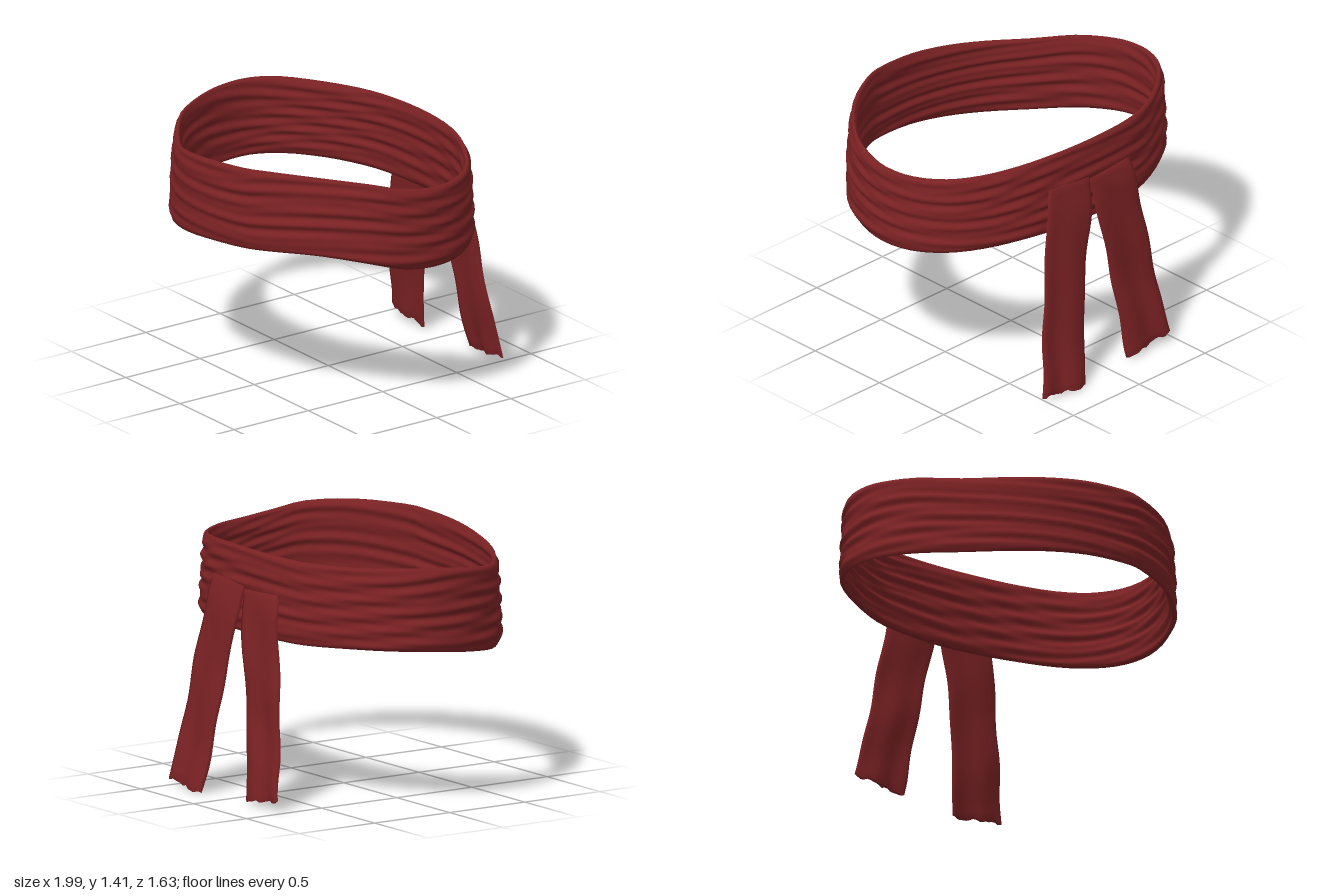
import * as THREE from 'three';

const cloth = new THREE.MeshStandardMaterial({ color: 0x7c2224 });
cloth.name = 'dark red cloth';

// Skins a grid of points: rings of equal length, each closed on itself
function skin(name, rings, closed) {
  const n = rings.length, m = rings[0].length, index = [];
  for (let i = 0; i < (closed ? n : n - 1); i++) {
    for (let j = 0; j < m; j++) {
      const k = (i + 1) % n, l = (j + 1) % m;
      const a = i * m + j, b = k * m + j, c = k * m + l, d = i * m + l;
      index.push(a, b, c, a, c, d);
    }
  }
  const geometry = new THREE.BufferGeometry().setFromPoints(rings.flat());
  geometry.setIndex(index);
  geometry.computeVertexNormals();
  const mesh = new THREE.Mesh(geometry, cloth);
  mesh.name = name;
  return mesh;
}

// Walks around a flat section: one face from 0 to 1 (side 1), then the other back (side -1)
function sectionSteps(count) {
  const steps = [];
  for (let j = 0; j <= count; j++) steps.push([j / count, 1]);
  for (let j = count - 1; j > 0; j--) steps.push([j / count, -1]);
  return steps;
}

const rounded = (v, power) => Math.sqrt(Math.max(0, 1 - Math.abs(2 * v - 1) ** power));

// Waistband: outline x, z, then lower and upper edge heights
function waistband() {
  const plan = [
    [0, 0.81, 0.92, 1.375], [0.25, 0.79, 0.945, 1.4], [0.42, 0.735, 0.96, 1.415],
    [0.69, 0.57, 0.975, 1.42], [0.89, 0.37, 0.945, 1.4], [0.97, 0.19, 0.9, 1.36],
    [0.99, 0, 0.88, 1.335], [0.95, -0.19, 0.88, 1.33], [0.84, -0.36, 0.89, 1.335],
    [0.68, -0.49, 0.905, 1.35], [0.48, -0.585, 0.92, 1.37], [0.25, -0.635, 0.92, 1.38],
    [0, -0.65, 0.915, 1.38], [-0.25, -0.635, 0.915, 1.375], [-0.46, -0.59, 0.915, 1.37],
    [-0.68, -0.48, 0.92, 1.37], [-0.87, -0.33, 0.92, 1.375], [-0.97, -0.17, 0.915, 1.375],
    [-1, 0, 0.9, 1.365], [-0.98, 0.18, 0.88, 1.345], [-0.88, 0.39, 0.855, 1.32],
    [-0.69, 0.57, 0.845, 1.3], [-0.48, 0.71, 0.855, 1.31], [-0.25, 0.785, 0.885, 1.34],
  ];
  const path = new THREE.CatmullRomCurve3(
    plan.map(p => new THREE.Vector3(p[0], 0, p[1])), true, 'catmullrom');
  const edges = new THREE.CatmullRomCurve3(
    plan.map(p => new THREE.Vector3(p[2], p[3], 0)), true, 'catmullrom');
  const rings = [], count = 72;
  for (let i = 0; i < count; i++) {
    const t = i / count, a = t * Math.PI * 2;
    const p = path.getPoint(t), tangent = path.getTangent(t), e = edges.getPoint(t);
    const nx = -tangent.z, nz = tangent.x;
    rings.push(sectionSteps(40).map(([v, side]) => {
      // Soft horizontal folds that drift and merge around the waist
      const fold = (0.006 * Math.sin(2 * Math.PI * (5 * v + 0.5 * Math.sin(a * 2 + 1)))
        + 0.004 * Math.sin(2 * Math.PI * (8 * v + 0.6 * Math.sin(a * 3 + v * 2)))) * rounded(v, 4);
      const out = side * 0.019 * rounded(v, 8) + fold - 0.022 - 0.024 * v;
      return new THREE.Vector3(p.x + nx * out, THREE.MathUtils.lerp(e.x, e.y, v), p.z + nz * out);
    }));
  }
  return skin('waistband', rings, true);
}

// Hanging tie end between two edge paths, with lengthwise folds and a ragged hem
function tieEnd(name, leftEdge, rightEdge, phase) {
  const curve = pts => new THREE.CatmullRomCurve3(
    pts.map(p => new THREE.Vector3(...p)), false, 'catmullrom');
  const left = curve(leftEdge), right = curve(rightEdge);
  const rings = [], count = 26;
  for (let i = -1; i <= count + 1; i++) {
    const t = THREE.MathUtils.clamp(i / count, 0, 1);
    const capped = i < 0 || i > count;
    const a = left.getPoint(t), b = right.getPoint(t);
    rings.push(sectionSteps(16).map(([u, side]) => {
      const p = a.clone().lerp(b, u);
      const fold = 0.009 * t * Math.sin(u * 9 + phase + t * 2)
        + 0.004 * Math.sin(t * 16 + phase + u * 3);
      p.z += fold + (capped ? 0 : side * 0.009 * rounded(u, 6));
      p.x += 0.004 * Math.sin(t * 19 + phase);
      p.y += t ** 12 * (0.006 * Math.sin(u * 17 + phase) + 0.004 * Math.sin(u * 31));
      return p;
    }));
  }
  return skin(name, rings, false);
}

export function createModel() {
  const sash = new THREE.Group();
  sash.name = 'sash';
  sash.add(waistband());
  sash.add(tieEnd('leftTieEnd',
    [[0.02, 1.17, -0.642], [0.045, 1, -0.675], [0.1, 0.75, -0.7],
      [0.145, 0.5, -0.725], [0.175, 0.25, -0.76], [0.21, 0.01, -0.8]],
    [[0.33, 1.2, -0.632], [0.375, 1, -0.662], [0.42, 0.75, -0.69],
      [0.455, 0.5, -0.715], [0.495, 0.27, -0.745], [0.53, 0.05, -0.785]], 0.5));
  sash.add(tieEnd('rightTieEnd',
    [[-0.29, 1.17, -0.632], [-0.315, 1, -0.662], [-0.36, 0.75, -0.68],
      [-0.395, 0.5, -0.7], [-0.43, 0.28, -0.725], [-0.465, 0.07, -0.755]],
    [[0.03, 1.16, -0.642], [0.015, 1, -0.672], [-0.035, 0.75, -0.69],
      [-0.08, 0.5, -0.705], [-0.115, 0.25, -0.73], [-0.145, 0.025, -0.76]], 2.4));
  return sash;
}
